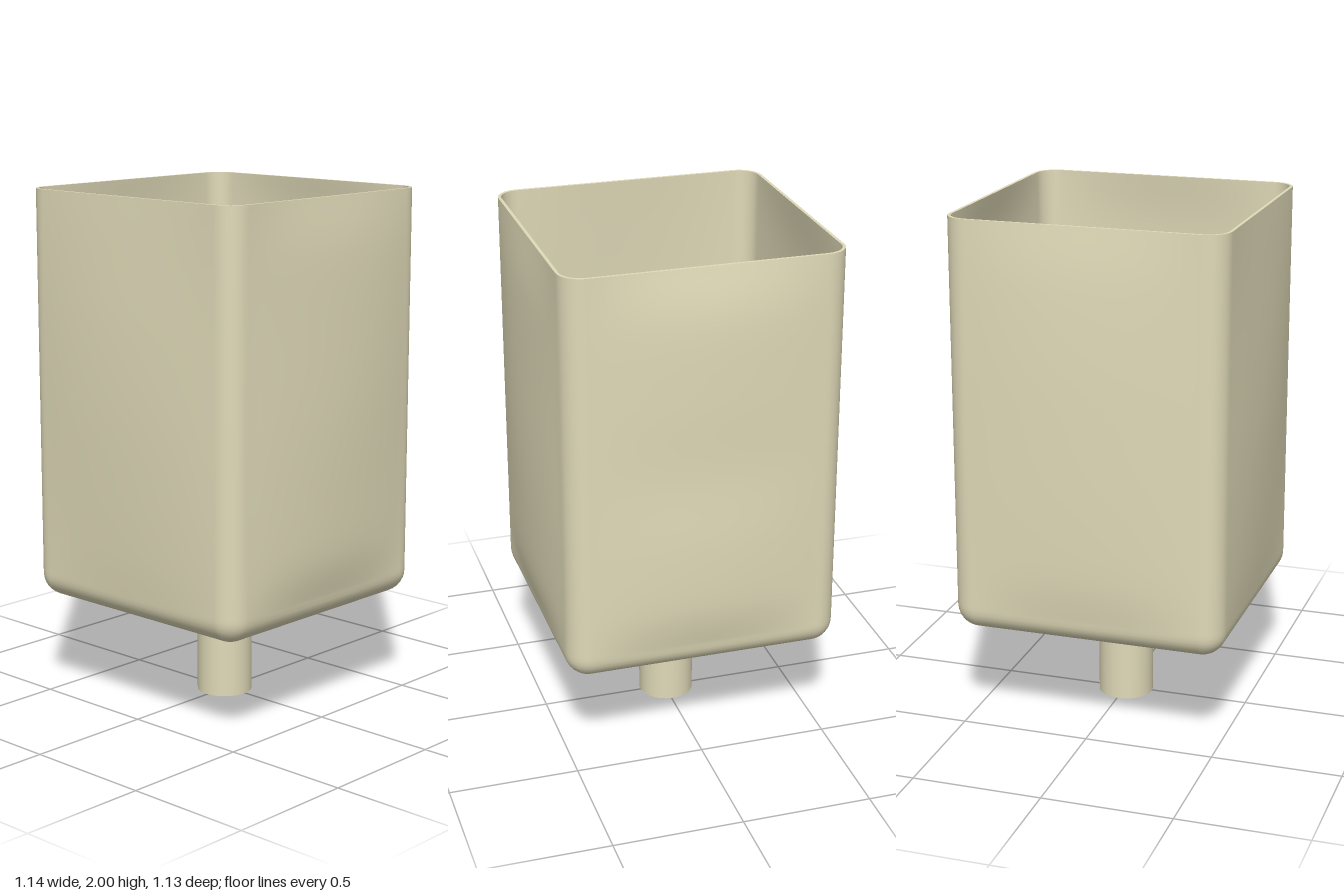
import * as THREE from 'three';

const CX = -0.007, CZ = 0.004;        // tank axis
const HALF = 0.532, CORNER = 0.09;    // plan half width and corner radius
const FLOOR = 0.4, TOP = 2, WALL = 0.012;

// Outward bulge of each wall at the given heights, in the order +x, +z, -x, -z
const LEVELS = [0.49, 0.65, 0.9, 1.2, 1.5, 1.8, TOP];
const BULGES = [
  [0, 0.028, 0.038, 0.042, 0.036, 0.024, 0],
  [0, 0.012, 0.023, 0.03, 0.026, 0.012, 0],
  [0, 0.02, 0.028, 0.03, 0.028, 0.018, 0],
  [0, 0.03, 0.036, 0.027, 0.032, 0.028, 0],
];
const curves = BULGES.map(b => new THREE.SplineCurve(b.map((v, i) => new THREE.Vector2(LEVELS[i], v))));

// Rounded square outline at height y, each side pushed out by its own bulge
function ring(half, radius, y, bulge = [0, 0, 0, 0]) {
  const pts = [], straight = half - radius;
  for (let side = 0; side < 4; side++) {
    const c = Math.cos(side * Math.PI / 2), s = Math.sin(side * Math.PI / 2);
    const add = (out, along) => pts.push(new THREE.Vector3(CX + out * c - along * s, y, CZ + out * s + along * c));
    for (let i = 0; i <= 20; i++) {
      const u = i / 10 - 1;
      add(half + bulge[side] * (1 - u * u), u * straight);
    }
    for (let i = 1; i < 8; i++) {
      const a = i / 8 * Math.PI / 2;
      add(straight + radius * Math.cos(a), straight + radius * Math.sin(a));
    }
  }
  return pts;
}

// Skin a list of equal closed rings
function loft(rings, flip = false) {
  const n = rings[0].length, index = [];
  for (let j = 0; j < rings.length - 1; j++) {
    for (let i = 0; i < n; i++) {
      const a = j * n + i, b = j * n + (i + 1) % n, c = a + n, d = b + n;
      if (flip) index.push(a, b, c, b, d, c);
      else index.push(a, c, b, b, c, d);
    }
  }
  const g = new THREE.BufferGeometry().setFromPoints(rings.flat());
  g.setIndex(index);
  g.computeVertexNormals();
  return g;
}

// Floor, rounded lower edge and bulging walls, inset by the wall thickness
function shellRings(inset) {
  const half = HALF - inset, r = CORNER - inset, y0 = FLOOR + inset;
  const rings = [0.001, 0.15, 0.3, 0.42].map(h => ring(h, h * 0.03, y0));
  for (let i = 0; i <= 8; i++) {
    const a = i / 8 * Math.PI / 2, back = r * (1 - Math.sin(a));
    rings.push(ring(half - back, Math.max(r - back, 0.008), y0 + r * (1 - Math.cos(a))));
  }
  for (let i = 1; i <= 36; i++) {
    const p = curves.map(c => c.getPoint(i / 36));
    rings.push(ring(half, r, p[0].x, p.map(v => v.y)));
  }
  return rings;
}

// Liquid surface, dished smoothly towards the drain
function liquidGeometry() {
  const level = 1.57, rings = [];
  for (let i = 0; i <= 30; i++) {
    const k = Math.max(i / 30, 0.001);
    const pts = ring((HALF - WALL) * k, (CORNER - WALL) * k, level, [0.03 * k, 0.025 * k, 0.025 * k, 0.03 * k]);
    for (const p of pts) {
      const wave = v => Math.cos(Math.min(Math.abs(v) / 0.53, 1) * Math.PI / 2) ** 2;
      p.y -= 0.14 * wave(p.x - CX) * wave(p.z - CZ);
    }
    rings.push(pts);
  }
  return loft(rings, true).toNonIndexed() && loft(rings, false);
}

export function createModel() {
  const beige = new THREE.MeshStandardMaterial({ color: 0xe0dab8, side: THREE.DoubleSide });
  beige.name = 'beige';
  const white = new THREE.MeshStandardMaterial({ color: 0xe6e6e6, side: THREE.DoubleSide });
  white.name = 'white';

  const model = new THREE.Group();
  model.name = 'tank';
  const add = (name, geometry, material) => {
    const mesh = new THREE.Mesh(geometry, material);
    mesh.name = name;
    model.add(mesh);
    return mesh;
  };

  add('outerWall', loft(shellRings(0)), beige);
  add('innerWall', loft(shellRings(WALL), true), beige);
  add('rim', loft([ring(HALF, CORNER, TOP), ring(HALF - WALL, CORNER - WALL, TOP)]), beige);
  add('liquidSurface', liquidGeometry(), white);

  // Open drain pipe
  const pipe = add('drainPipe', new THREE.CylinderGeometry(0.108, 0.108, FLOOR, 48, 1, true), beige);
  pipe.position.set(CX, FLOOR / 2, CZ);
  return model;
}
